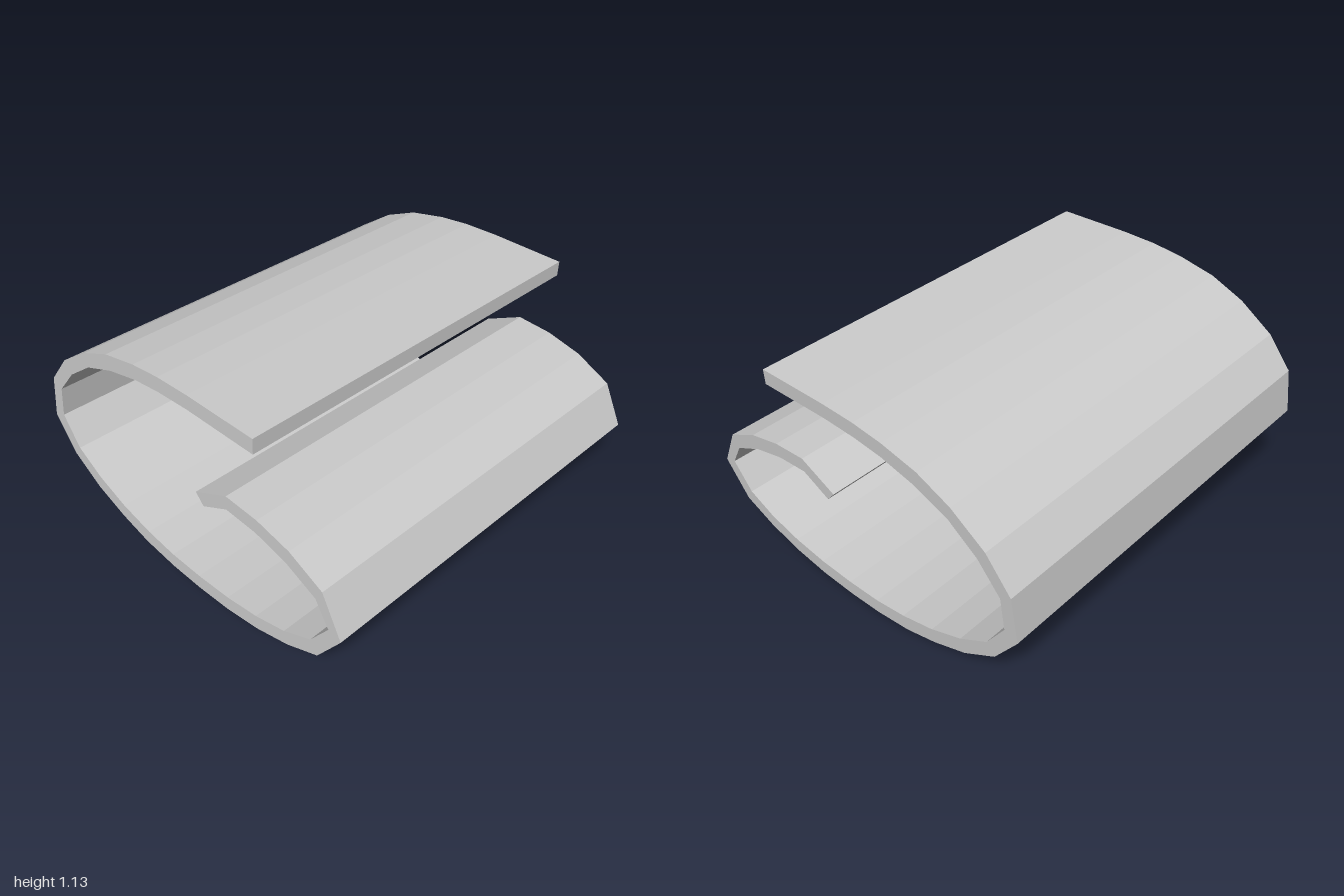
import * as THREE from 'three';

// Outer side of the curled strip, from its top lip round to the inner lip
const OUTER = [
  [0.46, 1.133], [0.08, 1.133], [-0.1, 1.126], [-0.26, 1.107], [-0.45, 1.065],
  [-0.62, 0.99], [-0.79, 0.87], [-0.91, 0.715], [-0.935, 0.495], [-0.81, 0.33],
  [-0.64, 0.225], [-0.46, 0.157], [-0.29, 0.112], [-0.1, 0.089], [0.08, 0.084],
  [0.27, 0.092], [0.46, 0.12], [0.64, 0.17], [0.81, 0.245], [0.933, 0.42],
  [0.83, 0.615], [0.65, 0.7], [0.47, 0.74], [0.29, 0.75], [0.1, 0.655],
];
// Matching points on the inner side
const INNER = [
  [0.46, 1.06], [0.08, 1.062], [-0.1, 1.053], [-0.25, 1.035], [-0.43, 0.992],
  [-0.6, 0.925], [-0.745, 0.815], [-0.855, 0.68], [-0.87, 0.525], [-0.77, 0.385],
  [-0.62, 0.295], [-0.45, 0.228], [-0.27, 0.184], [-0.1, 0.161], [0.08, 0.157],
  [0.27, 0.165], [0.45, 0.19], [0.62, 0.235], [0.77, 0.306], [0.867, 0.44],
  [0.795, 0.555], [0.63, 0.63], [0.46, 0.67], [0.29, 0.68], [0.145, 0.605],
];
const LENGTH = 1.957;
const TILT = 0.041;
const FRONT_CENTRE_Y = 0.609; // height of the profile's centre at the front end
const CENTRE_Y = 0.569;

export function createModel() {
  const group = new THREE.Group();
  group.name = 'curledSheet';

  // Closed outline: along the outside, back along the inside
  const outline = [...OUTER, ...INNER.slice().reverse()]
    .map(([x, y]) => new THREE.Vector2(x, y - FRONT_CENTRE_Y));
  const geometry = new THREE.ExtrudeGeometry(new THREE.Shape(outline), {
    depth: LENGTH, bevelEnabled: false,
  });
  geometry.translate(0, 0, -LENGTH / 2);

  const sheet = new THREE.Mesh(
    geometry,
    new THREE.MeshStandardMaterial({ color: 0xcccccc, flatShading: true }),
  );
  sheet.name = 'rolledStrip';
  // Front end sits slightly higher than the back
  sheet.rotation.x = -TILT;
  sheet.position.y = CENTRE_Y;
  group.add(sheet);
  return group;
}
